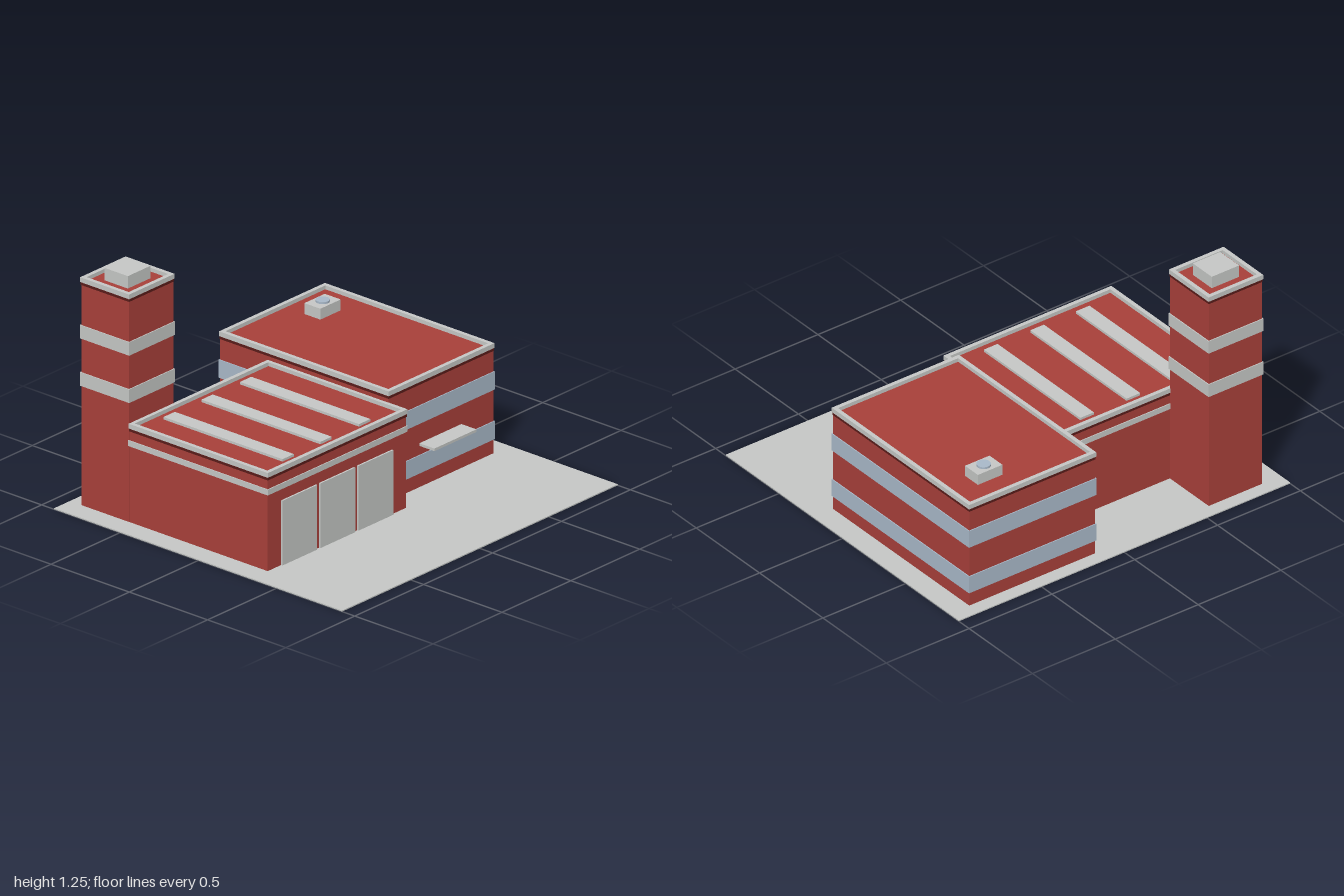
import * as THREE from 'three';

const mat = (name, color) => Object.assign(new THREE.MeshStandardMaterial({ color }), { name });

export function createModel() {
  const red = mat('brick red', 0xa8403a);
  const dark = mat('dark red', 0x5a1c19);
  const grey = mat('concrete grey', 0xc5c7c5);
  const blue = mat('window blue', 0xa9b9c9);

  const model = new THREE.Group();
  model.name = 'fireStation';

  // Box given by its limits on each axis
  const box = (parent, name, material, [x0, x1], [y0, y1], [z0, z1]) => {
    const m = new THREE.Mesh(new THREE.BoxGeometry(x1 - x0, y1 - y0, z1 - z0), material);
    m.position.set((x0 + x1) / 2, (y0 + y1) / 2, (z0 + z1) / 2);
    m.name = name;
    parent.add(m);
    return m;
  };
  const grow = ([a, b], d) => [a - d, b + d];

  // Rectangular rim, open in the middle so the roof shows
  const rim = (parent, name, material, x, z, y0, y1, width) => {
    const rect = (T, d) => {
      const [a, b] = grow(x, d), [c, e] = grow(z, d);
      return new T([[a, -e], [b, -e], [b, -c], [a, -c]].map(p => new THREE.Vector2(...p)));
    };
    const shape = rect(THREE.Shape, 0);
    shape.holes.push(rect(THREE.Path, -width));
    const geo = new THREE.ExtrudeGeometry(shape, { depth: y1 - y0, bevelEnabled: false });
    geo.rotateX(-Math.PI / 2);
    const m = new THREE.Mesh(geo, material);
    m.position.y = y0;
    m.name = name;
    parent.add(m);
  };

  // A block: walls, dark cornice, parapet and wrap-around bands
  const block = (name, x, z, top, bands, bandMaterial) => {
    const g = new THREE.Group();
    g.name = name;
    model.add(g);
    box(g, 'walls', red, x, [0.003, top - 0.02], z);
    rim(g, 'cornice', dark, grow(x, 0.002), grow(z, 0.002), top - 0.04, top - 0.025, 0.015);
    rim(g, 'parapet', grey, grow(x, 0.004), grow(z, 0.004), top - 0.025, top, 0.022);
    for (const y of bands) box(g, 'band', bandMaterial, grow(x, 0.005), y, grow(z, 0.005));
    return g;
  };

  // Ground slab
  box(model, 'ground', grey, [-1, 1], [0, 0.006], [-0.92, 0.92]);

  // Engine hall with roof strips and three doors
  const hall = block('engineHall', [-0.885, 0.12], [-0.54, 0.343], 0.522, [[0.405, 0.435]], grey);
  for (const x of [-0.665, -0.39, -0.11])
    box(hall, 'skylight', grey, [x - 0.041, x + 0.041], [0.5, 0.515], [-0.48, 0.28]);
  for (const x of [-0.662, -0.386, -0.11])
    box(hall, 'garageDoor', grey, [x - 0.126, x + 0.126], [0.006, 0.345], [0.34, 0.352]);

  // Office wing with window bands, canopy and roof unit
  const wing = block('officeWing', [0.122, 0.882], [-0.847, 0.229], 0.583,
    [[0.08, 0.175], [0.34, 0.435]], blue);
  box(wing, 'canopy', grey, [0.345, 0.65], [0.222, 0.236], [0.22, 0.325]);
  box(wing, 'roofUnit', grey, [0.577, 0.725], [0.56, 0.62], [-0.71, -0.608]);
  const fan = new THREE.Mesh(new THREE.CylinderGeometry(0.035, 0.035, 0.015, 20), blue);
  fan.position.set(0.651, 0.623, -0.659);
  fan.name = 'roofFan';
  wing.add(fan);

  // Tower with two bands and a roof cap
  const tower = block('tower', [-0.886, -0.564], [-0.847, -0.542], 1.2,
    [[0.632, 0.703], [0.88, 0.95]], grey);
  box(tower, 'towerCap', grey, [-0.806, -0.641], [1.17, 1.245], [-0.77, -0.62]);

  return model;
}
